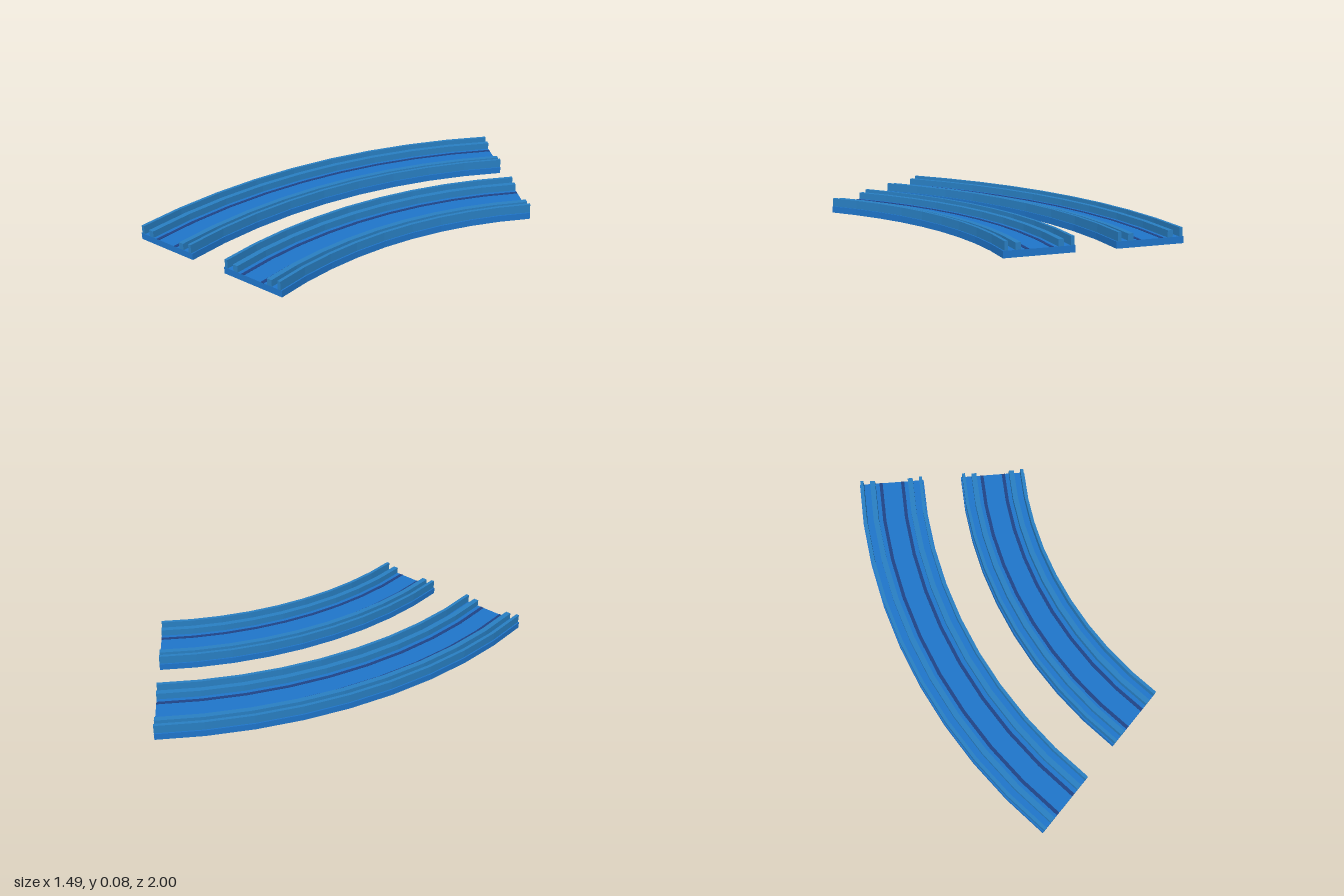
import * as THREE from 'three';

const material = (name, color) => {
  const m = new THREE.MeshStandardMaterial({ color });
  m.name = name;
  return m;
};

const CENTRE_X = 2.083; // both curves share this centre of turning, at z = 1
const SEGMENTS = 9;
const SWEEP = Math.PI / 4;
const HALF_WIDTH = 0.18;
const FLOOR = 0.035;

// Faceted 45-degree arc with a rectangular cross-section
function arcBar(name, r0, r1, y0, y1, mat) {
  const points = [];
  const add = (r, i) => {
    const a = (i / SEGMENTS) * SWEEP;
    points.push(new THREE.Vector2(CENTRE_X - r * Math.cos(a), r * Math.sin(a) - 1));
  };
  for (let i = 0; i <= SEGMENTS; i++) add(r0, i);
  for (let i = SEGMENTS; i >= 0; i--) add(r1, i);
  const geometry = new THREE.ExtrudeGeometry(new THREE.Shape(points), {
    depth: y1 - y0, bevelEnabled: false,
  });
  geometry.rotateX(-Math.PI / 2).translate(0, y0, 0);
  const mesh = new THREE.Mesh(geometry, mat);
  mesh.name = name;
  return mesh;
}

export function createModel() {
  const base = material('track blue', 0x1f76cc);
  const rail = material('rail blue', 0x2980c4);
  const dark = material('stripe navy', 0x1f4488);

  // Raised parts: name, inner and outer offset from the centre line, bottom, top, colour
  const parts = [
    ['edgeWall', 0.156, 0.173, FLOOR, 0.08, rail],
    ['guideRail', 0.092, 0.12, FLOOR, 0.07, rail],
    ['stripe', 0.052, 0.07, FLOOR, FLOOR + 0.002, dark],
  ];

  const model = new THREE.Group();
  model.name = 'curvedTracks';
  for (const [name, radius] of [['outerTrack', 2.648], ['innerTrack', 2.076]]) {
    const track = new THREE.Group();
    track.name = name;
    track.add(arcBar('bed', radius - HALF_WIDTH, radius + HALF_WIDTH, 0, FLOOR, base));
    for (const [part, a, b, y0, y1, mat] of parts) {
      track.add(arcBar(part + 'Outer', radius + a, radius + b, y0, y1, mat));
      track.add(arcBar(part + 'Inner', radius - b, radius - a, y0, y1, mat));
    }
    model.add(track);
  }
  return model;
}
